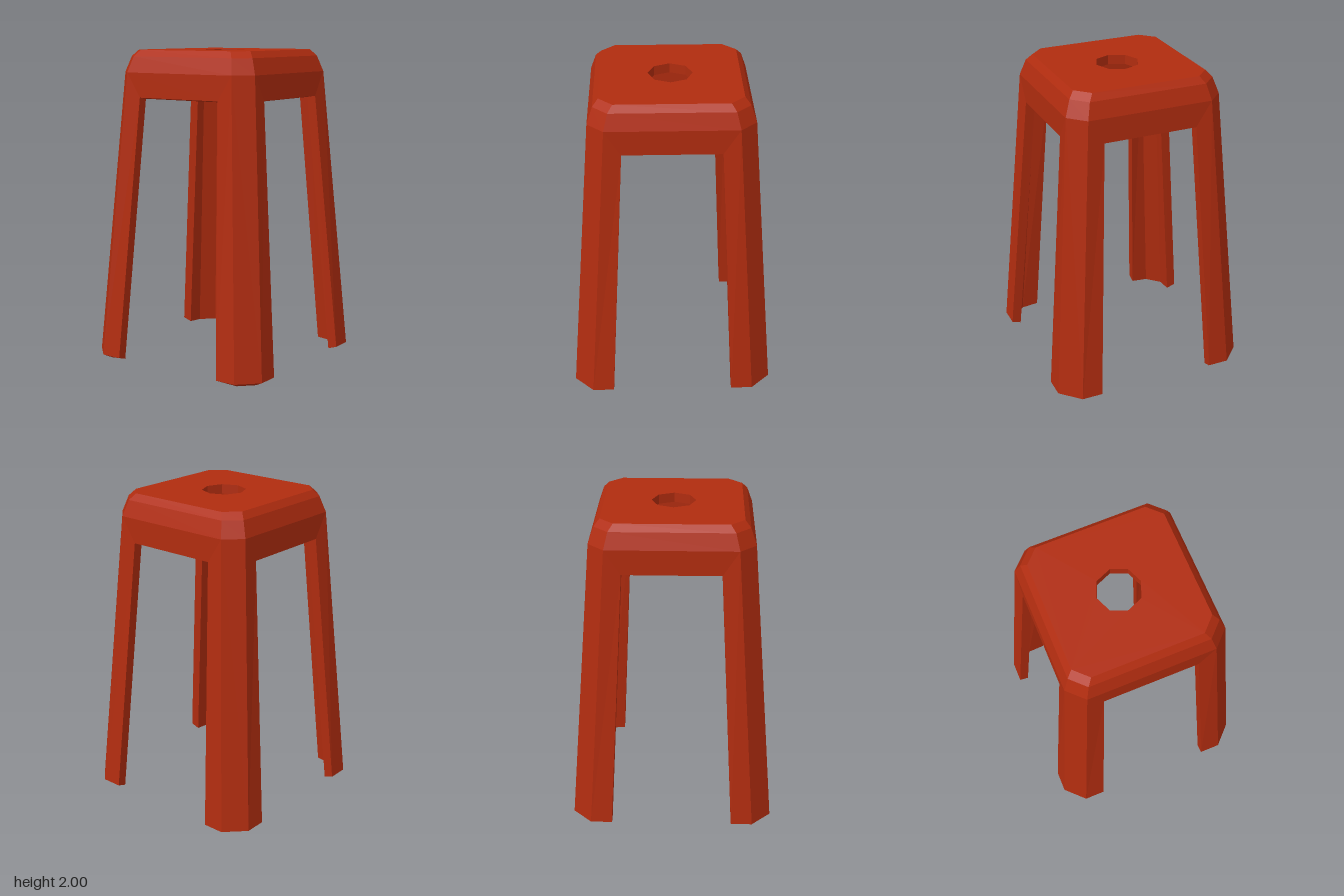
import * as THREE from 'three';

// Half cross-section points of one side facing +z: top rim, bevel, shoulder, apron end, foot inside, foot corner
const OUTER = {
  rim: [0.345, 2, 0.43], bevel: [0.375, 1.96, 0.465], shoulder: [0.4, 1.86, 0.5],
  apron: [0.3, 1.705, 0.5], foot: [0.385, 0.03, 0.64], corner: [0.52, 0.03, 0.64],
};
const INNER = {
  rim: [0.32, 1.94, 0.39], bevel: [0.345, 1.92, 0.415], shoulder: [0.375, 1.84, 0.44],
  apron: [0.3, 1.695, 0.44], foot: [0.385, 0.01, 0.58], corner: [0.497, 0, 0.58],
};
const mirror = ([x, y, z]) => [-x, y, z];
const swap = ([x, y, z]) => [z, y, x];

// One side of the shell: bevels, apron, two half legs and the chamfered corner on its right
function sideGeometry() {
  const pos = [];
  const quad = (a, b, c, d) => pos.push(...a, ...b, ...c, ...a, ...c, ...d);

  const skin = (p, flip) => {
    const face = (a, b, c, d) => (flip ? quad(d, c, b, a) : quad(a, b, c, d));
    for (const [u, v] of [[p.rim, p.bevel], [p.bevel, p.shoulder], [p.shoulder, p.apron]])
      face(mirror(u), mirror(v), v, u);
    face(p.shoulder, p.apron, p.foot, p.corner);
    face(mirror(p.corner), mirror(p.foot), mirror(p.apron), mirror(p.shoulder));
    for (const [u, v] of [[p.rim, p.bevel], [p.bevel, p.shoulder], [p.shoulder, p.corner]])
      face(u, v, swap(v), swap(u));
  };
  skin(OUTER, false);
  skin(INNER, true);

  // Edge strip joining the outer and inner skins
  const edge = (p) => [mirror(p.corner), mirror(p.foot), mirror(p.apron), p.apron, p.foot, p.corner, swap(p.corner)];
  const o = edge(OUTER), i = edge(INNER);
  for (let k = 0; k < o.length - 1; k++) quad(o[k], i[k], i[k + 1], o[k + 1]);

  const g = new THREE.BufferGeometry();
  g.setAttribute('position', new THREE.Float32BufferAttribute(pos, 3));
  g.computeVertexNormals();
  return g;
}

// Seat plate: chamfered square with an eight-sided hole
function seatGeometry() {
  const [c, , h] = OUTER.rim;
  const outline = [[c, -h], [h, -c], [h, c], [c, h], [-c, h], [-h, c], [-h, -c], [-c, -h]];
  const shape = new THREE.Shape(outline.map(([x, y]) => new THREE.Vector2(x, y)));
  const hole = [];
  for (let k = 0; k < 8; k++) {
    const a = (k * Math.PI) / 4;
    hole.push(new THREE.Vector2(0.138 * Math.cos(a), 0.138 * Math.sin(a)));
  }
  shape.holes.push(new THREE.Path(hole));
  const g = new THREE.ExtrudeGeometry(shape, { depth: 0.06, bevelEnabled: false });
  g.rotateX(-Math.PI / 2);
  g.translate(0, 1.94, 0);
  return g;
}

export function createModel() {
  const stool = new THREE.Group();
  stool.name = 'stool';
  const material = new THREE.MeshStandardMaterial({ color: 0xb02c0f, flatShading: true });

  const seat = new THREE.Mesh(seatGeometry(), material);
  seat.name = 'seat';
  stool.add(seat);

  const side = sideGeometry();
  ['front', 'left', 'back', 'right'].forEach((name, k) => {
    const mesh = new THREE.Mesh(side, material);
    mesh.name = name + 'ApronAndLeg';
    mesh.rotation.y = (k * Math.PI) / 2;
    stool.add(mesh);
  });
  return stool;
}
